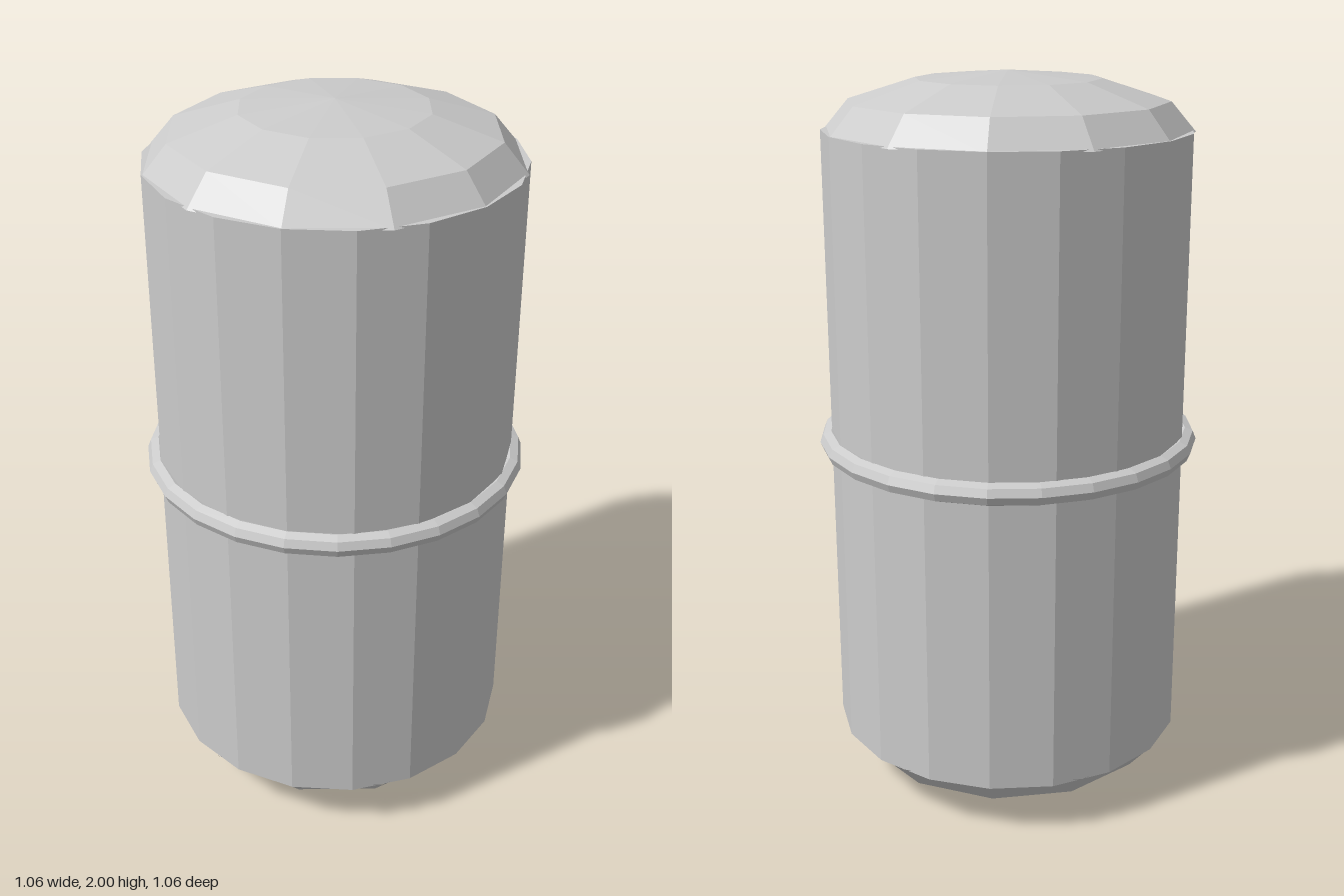
import * as THREE from 'three';

export function createModel() {
  const group = new THREE.Group();
  const material = new THREE.MeshStandardMaterial({ color: 0xcccccc, flatShading: true });
  const add = (name, geometry) => {
    const mesh = new THREE.Mesh(geometry, material);
    mesh.name = name;
    group.add(mesh);
    return mesh;
  };
  const radius = 0.495;

  // Faceted body, closed at both ends
  add('body', new THREE.CylinderGeometry(radius, radius, 1.7, 18)).position.y = 1;

  // Shallow domes, sunk slightly into the body
  const domeHeight = 0.155;
  for (const [name, side] of [['topDome', 1], ['bottomDome', -1]]) {
    const dome = new THREE.SphereGeometry(radius, 12, 3, 0, Math.PI * 2, 0, Math.PI / 2);
    dome.scale(1, domeHeight / radius, 1);
    if (side < 0) dome.rotateX(Math.PI);
    add(name, dome).position.y = 1 + side * (1 - domeHeight);
  }

  // Thin band round the middle
  const band = new THREE.TorusGeometry(0.497, 0.031, 8, 24);
  band.rotateX(Math.PI / 2);
  add('middleBand', band).position.y = 1;

  return group;
}
